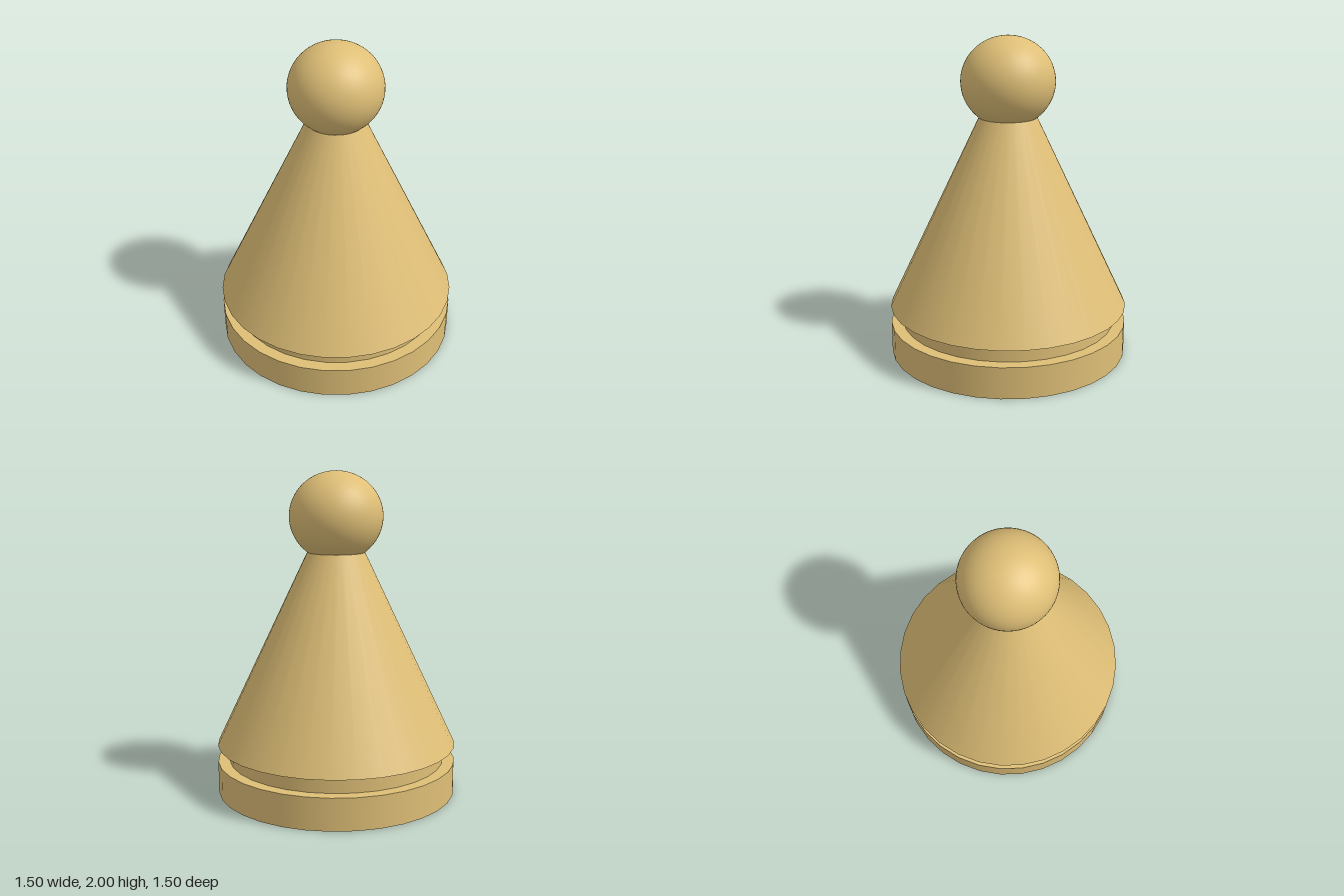
import * as THREE from 'three';

export function createModel() {
  const group = new THREE.Group();
  const material = new THREE.MeshStandardMaterial({ color: 0xdfbf77 });

  // Round section standing between two heights
  function addSection(name, bottomRadius, topRadius, y0, y1) {
    const mesh = new THREE.Mesh(
      new THREE.CylinderGeometry(topRadius, bottomRadius, y1 - y0, 32), material);
    mesh.position.y = (y0 + y1) / 2;
    mesh.name = name;
    group.add(mesh);
  }

  addSection('base', 0.748, 0.748, 0, 0.2);
  addSection('collar', 0.675, 0.675, 0.2, 0.305);
  addSection('body', 0.748, 0.178, 0.305, 1.506);

  // Slightly flattened ball sunk into the top of the body
  const head = new THREE.Mesh(new THREE.SphereGeometry(0.288, 64, 32), material);
  head.scale.y = 0.276 / 0.288;
  head.position.y = 1.724;
  head.name = 'head';
  group.add(head);

  return group;
}
